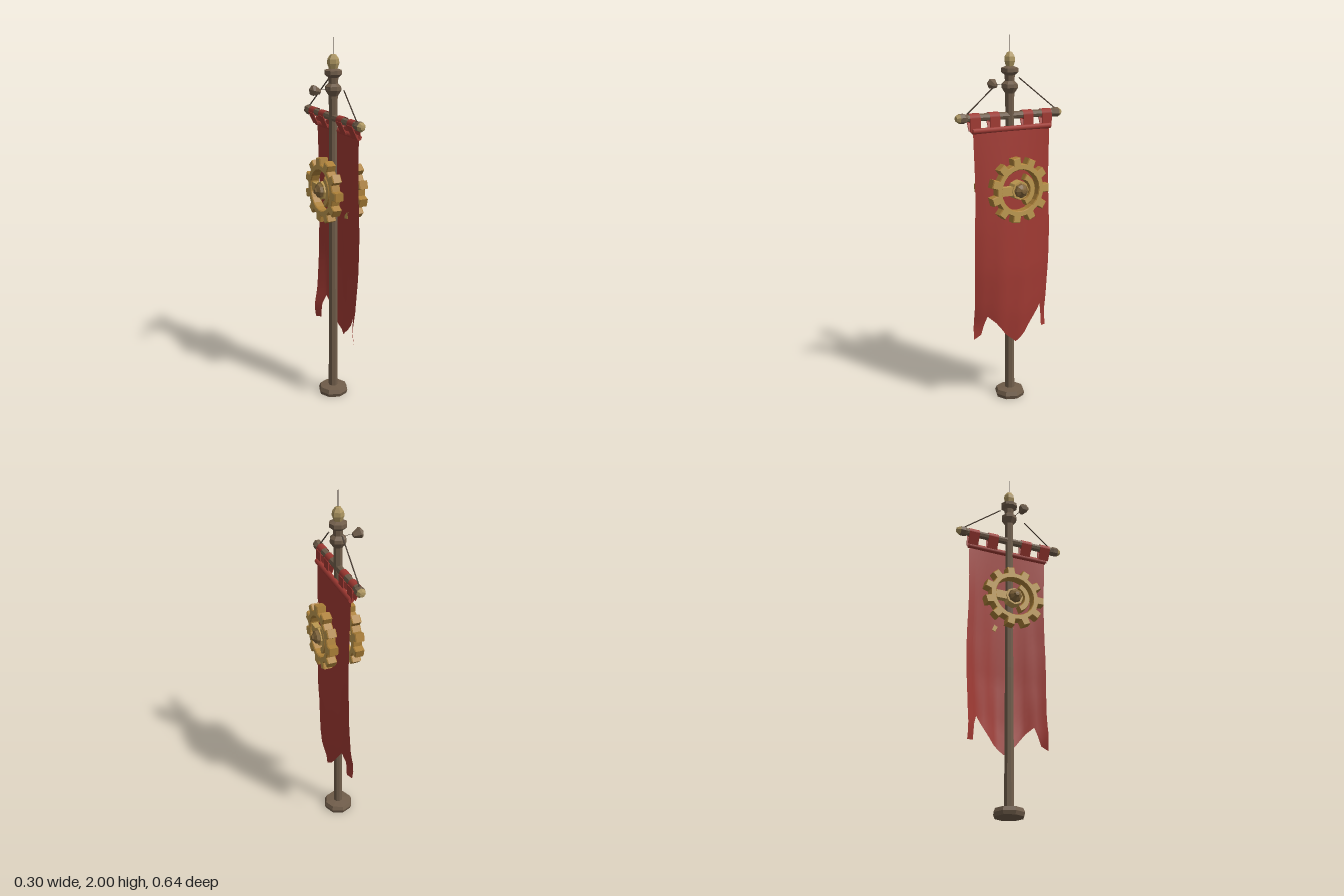
import * as THREE from 'three';

const mat = (name, color, opts = {}) => {
  const m = new THREE.MeshStandardMaterial({ color, ...opts });
  m.name = name;
  return m;
};
const flat = { flatShading: true };

export function createModel() {
  const wood = mat('brown wood', 0x705d4a, flat);
  const cloth = mat('red cloth', 0x9f3932, { side: THREE.DoubleSide });
  const gold = mat('gold', 0xbc9850, flat);
  const darkGold = mat('dark gold', 0xac8038, flat);
  const bronze = mat('bronze', 0x7e6238, flat);
  const tan = mat('pale brass', 0xac9560, flat);
  const rope = mat('dark rope', 0x4a3d32);

  const model = new THREE.Group();
  model.name = 'bannerStandard';
  const add = (parent, name, geo, material, x = 0, y = 0, z = 0) => {
    const m = new THREE.Mesh(geo, material);
    m.name = name;
    m.position.set(x, y, z);
    parent.add(m);
    return m;
  };
  const lathe = (points, sides) =>
    new THREE.LatheGeometry(points.map(p => new THREE.Vector2(...p)), sides);
  // thin round bar between two points
  const rod = (name, a, b, r, material) => {
    const p = new THREE.Vector3(...a), q = new THREE.Vector3(...b);
    add(model, name, new THREE.TubeGeometry(new THREE.LineCurve3(p, q), 1, r, 5), material);
  };

  // turned pole with foot and two collars
  add(model, 'pole', lathe([[0, 0], [0.078, 0], [0.085, 0.02], [0.076, 0.042], [0.027, 0.048], [0.024, 0.8],
    [0.022, 1.5], [0.025, 1.7], [0.045, 1.73], [0.043, 1.75], [0.026, 1.765], [0.028, 1.795],
    [0.048, 1.812], [0.047, 1.832], [0.024, 1.84], [0, 1.85]], 8), wood);

  // finial and needle
  add(model, 'finial', lathe([[0, 1.838], [0.022, 1.84], [0.032, 1.868], [0.03, 1.89], [0.015, 1.912],
    [0, 1.916]], 6), tan);
  add(model, 'needle', new THREE.CylinderGeometry(0.002, 0.002, 0.1, 4), rope, 0, 1.95, 0);

  // crossbar with end knobs
  const barY = 1.585;
  const bar = add(model, 'crossbar', new THREE.CylinderGeometry(0.02, 0.02, 0.58, 8), wood, 0, barY, 0);
  bar.rotation.x = Math.PI / 2;
  for (const s of [1, -1]) {
    const knob = new THREE.Group();
    knob.name = 'crossbarKnob';
    knob.position.set(0, barY, s * 0.285);
    knob.rotation.x = s * Math.PI / 2;
    add(knob, 'knobCollar', lathe([[0, -0.03], [0.02, -0.03], [0.027, -0.012], [0.026, 0.015]], 7), wood);
    add(knob, 'knobTip', lathe([[0.026, 0.015], [0.014, 0.034], [0, 0.036]], 7), tan);
    model.add(knob);
  }

  // stay ropes and the hanging side knob
  rod('stayRope', [0, 1.605, 0.255], [0.01, 1.74, 0.1], 0.0035, rope);
  rod('stayRope', [0, 1.605, -0.285], [0, 1.78, -0.055], 0.0035, rope);
  rod('sideRope', [-0.03, 1.742, 0.02], [-0.11, 1.742, 0.03], 0.0012, rope);
  const side = add(model, 'sideKnob', lathe([[0, -0.034], [0.014, -0.03], [0.03, 0.008], [0.024, 0.02],
    [0, 0.03]], 6), wood, -0.123, 1.739, 0.032);
  side.rotation.z = Math.PI / 2 - 0.25;

  // cloth tabs looped over the crossbar, meeting at the hem
  for (const z of [-0.218, -0.102, 0.102, 0.218]) {
    const loop = new THREE.CylinderGeometry(0.0245, 0.0245, 0.06, 10, 1, true);
    add(model, 'bannerTabLoop', loop, cloth, 0, barY, z).rotation.x = Math.PI / 2;
    for (const [x, tilt] of [[0.024, 0], [-0.008, 0.45]]) {
      const strap = add(model, 'bannerTabStrap', new THREE.BoxGeometry(0.005, 0.07, 0.06), cloth, x, 1.55, z);
      strap.rotation.z = tilt;
    }
  }
  const hemRoll = new THREE.CylinderGeometry(0.015, 0.015, 0.475, 8).rotateX(Math.PI / 2);
  add(model, 'bannerTopHem', hemRoll, cloth, 0.025, 1.518, 0);

  // hanging cloth: columns run from the top hem to a ragged lower edge
  const lerpTable = (t, v) => {
    let i = 0;
    while (i < t.length - 2 && v < t[i + 1][0]) i++;
    const [a, b] = [t[i], t[i + 1]];
    return a[1] + (b[1] - a[1]) * THREE.MathUtils.clamp((v - a[0]) / (b[0] - a[0]), 0, 1);
  };
  const hem = [[0.23, 0.375], [0.195, 0.40], [0.165, 0.505], [0.12, 0.465], [0.06, 0.39], [0, 0.34],
    [-0.06, 0.385], [-0.12, 0.46], [-0.17, 0.525], [-0.188, 0.47], [-0.193, 0.385], [-0.23, 0.38]];
  const middleX = [[1.53, 0.032], [1.2, 0.06], [0.75, 0.083], [0.5, 0.079], [0.34, 0.063]];
  const edgeX = [[1.53, 0.024], [1.0, 0.034], [0.75, 0.028], [0.55, 0.014], [0.45, -0.004], [0.37, 0.008]];
  const zs = [];
  for (let i = 0; i < hem.length - 1; i++)
    for (const t of [0, 0.5]) zs.push(hem[i][0] + (hem[i + 1][0] - hem[i][0]) * t);
  zs.push(-0.23);
  const rows = 24, pos = [], idx = [];
  zs.forEach((z, c) => {
    for (let r = 0; r <= rows; r++) {
      const t = r / rows, y = 1.525 + (lerpTable(hem, z) - 1.525) * t;
      const k = 1 - (z / 0.23) ** 2;
      const fold = 0.006 * t * Math.cos(z * 48 + y * 3) * k;
      const x = lerpTable(edgeX, y) * (1 - k) + lerpTable(middleX, y) * k + fold;
      pos.push(x, y, z * (1 + 0.015 * Math.sin(y * 9)));
      if (c && r) {
        const d = c * (rows + 1) + r, a = d - rows - 2;
        idx.push(a, a + 1, d, a, d, d - 1);
      }
    }
  });
  const sheet = new THREE.BufferGeometry();
  sheet.setAttribute('position', new THREE.Float32BufferAttribute(pos, 3));
  sheet.setIndex(idx);
  sheet.computeVertexNormals();
  add(model, 'bannerCloth', sheet, cloth);

  // toothed wheel facing +x
  const plate = (shape, depth) => new THREE.ExtrudeGeometry(shape, {
    depth, curveSegments: 11, bevelThickness: 0.005, bevelSize: 0.004, bevelSegments: 1,
  }).translate(0, 0, -depth / 2).rotateY(Math.PI / 2);
  const makeGear = () => {
    const g = new THREE.Group();
    g.name = 'gear';
    const teeth = 11, step = Math.PI * 2 / teeth, shape = new THREE.Shape();
    for (let i = 0; i < teeth; i++)
      [[-0.25, 0.138], [-0.19, 0.172], [0.19, 0.172], [0.25, 0.138]].forEach(([o, r], j) => {
        const a = (i + o) * step;
        shape[i + j ? 'lineTo' : 'moveTo'](r * Math.cos(a), r * Math.sin(a));
      });
    shape.closePath();
    const hole = new THREE.Path();
    hole.absarc(0, 0, 0.115, 0, Math.PI * 2, true);
    shape.holes.push(hole);
    add(g, 'gearRing', plate(shape, 0.042), [gold, darkGold]);
    // half-round bracket behind the hub
    const arc = new THREE.Shape();
    arc.absarc(0, 0, 0.088, -1.1, 1.1, false);
    arc.absarc(0, 0, 0.062, 1.1, -1.1, true);
    add(g, 'gearBracket', plate(arc, 0.03), [gold, darkGold]);
    // spoke, hub and pointed nut
    add(g, 'gearSpoke', new THREE.BoxGeometry(0.034, 0.046, 0.1), gold, 0, 0, 0.085);
    add(g, 'gearHub', new THREE.CylinderGeometry(0.05, 0.054, 0.044, 8).rotateZ(-Math.PI / 2), gold);
    add(g, 'gearNut', lathe([[0.04, 0], [0.036, 0.02], [0.018, 0.032], [0.012, 0.04], [0, 0.041]], 8)
      .rotateZ(-Math.PI / 2), bronze, 0.018);
    return g;
  };
  for (const s of [1, -1]) {
    const gear = makeGear();
    gear.position.set(s > 0 ? 0.092 : -0.055, 1.2, 0);
    if (s < 0) gear.rotation.y = Math.PI;
    model.add(gear);
  }
  return model;
}
